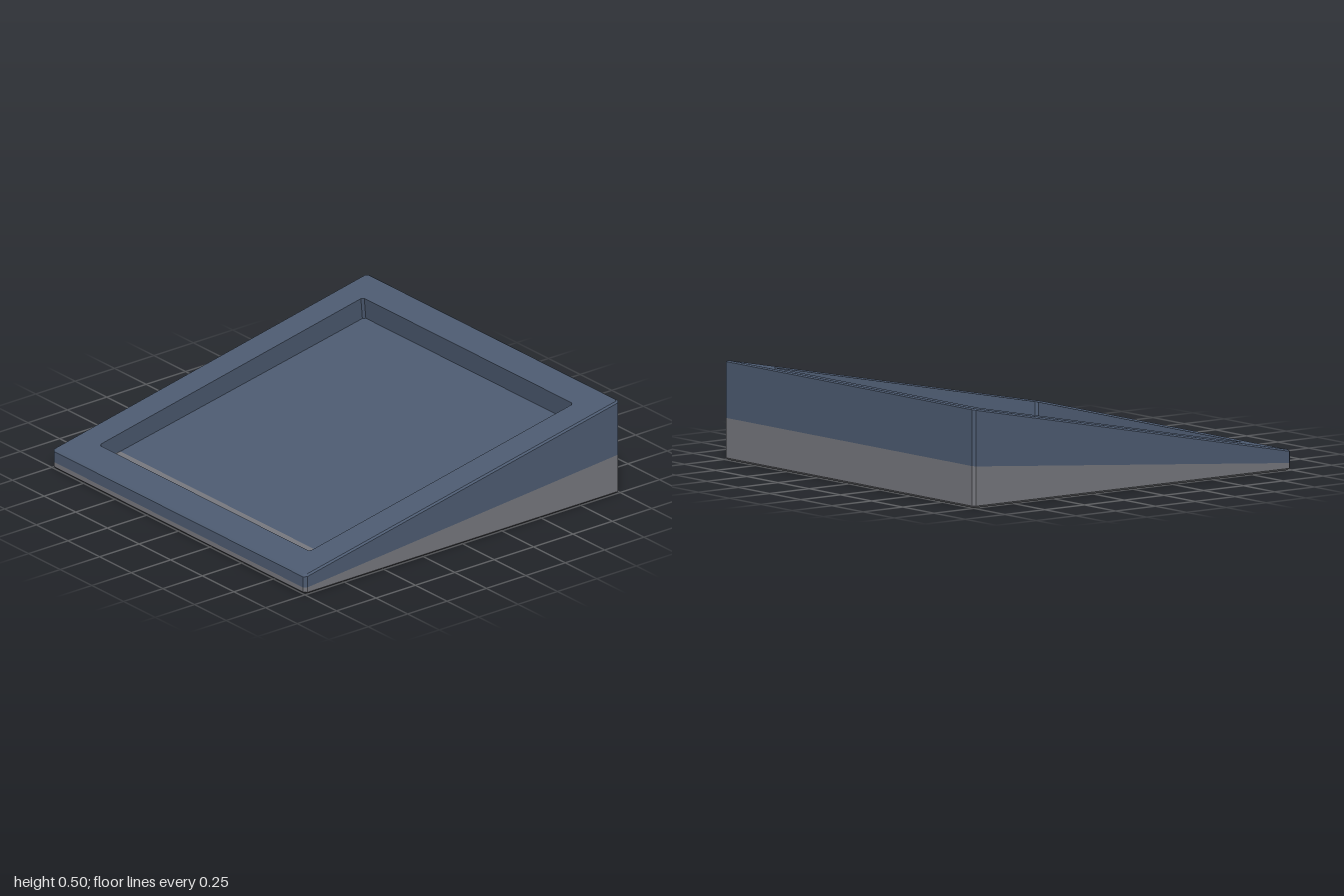
import * as THREE from 'three';

const blue = new THREE.MeshStandardMaterial({ color: 0x4c5a70 });
blue.name = 'slate blue';
const grey = new THREE.MeshStandardMaterial({ color: 0x74757b });
grey.name = 'base grey';

const SPLIT_Z = 0.69; // where the tray floor changes colour
const slope = (z) => 0.3 - 0.2 * z; // sloping top plane
const band = (z) => 0.1225 - 0.0875 * z; // colour boundary on the sides
const tray = (z) => 0.186 - 0.191 * z; // tray floor plane

// Rectangle with cut corners, counter-clockwise from above, lifted to height(z)
function ring(x0, x1, z0, z1, c, height) {
  return [
    [x1, z1 - c], [x1, SPLIT_Z], [x1, z0 + c], [x1 - c, z0], [x0 + c, z0],
    [x0, z0 + c], [x0, SPLIT_Z], [x0, z1 - c], [x0 + c, z1], [x1 - c, z1],
  ].map(([x, z]) => new THREE.Vector3(x, height(z), z));
}

function meshFrom(name, points, material) {
  const geometry = new THREE.BufferGeometry().setFromPoints(points);
  geometry.computeVertexNormals();
  const mesh = new THREE.Mesh(geometry, material);
  mesh.name = name;
  return mesh;
}

// Faceted skin through successive rings
function loft(name, rings, material) {
  const points = [];
  for (let r = 0; r < rings.length - 1; r++) {
    const a = rings[r], b = rings[r + 1];
    a.forEach((p, i) => {
      const j = (i + 1) % a.length;
      points.push(p, a[j], b[j], p, b[j], b[i]);
    });
  }
  return meshFrom(name, points, material);
}

// Flat convex face
function face(name, outline, material) {
  const points = [];
  for (let i = 1; i < outline.length - 1; i++) points.push(outline[0], outline[i], outline[i + 1]);
  return meshFrom(name, points, material);
}

export function createModel() {
  const group = new THREE.Group();
  group.name = 'slopedTray';

  // Outer wedge with small bevels
  const bottom = ring(-0.99, 0.99, -0.99, 0.99, 0.012, () => 0);
  const foot = ring(-1, 1, -1, 1, 0.015, () => 0.01);
  const middle = ring(-1, 1, -1, 1, 0.015, band);
  const shoulder = ring(-1, 1, -1, 1, 0.015, (z) => slope(z) - 0.008);
  const brim = ring(-0.99, 0.99, -0.99, 0.99, 0.012, slope);

  // Recess, leaning a little to the back and to one side
  const opening = ring(-0.832, 0.832, -0.838, 0.835, 0.012, slope);
  const floor = ring(-0.845, 0.812, -0.858, 0.818, 0.012, tray);
  const wallSplit = floor.map((p, i) => {
    const t = p.z > SPLIT_Z ? (band(p.z) - p.y) / (opening[i].y - p.y) : 0;
    return p.clone().lerp(opening[i], t);
  });

  group.add(
    face('underside', [...bottom].reverse(), grey),
    loft('lowerSides', [bottom, foot, middle], grey),
    loft('upperSidesAndRim', [middle, shoulder, brim, opening], blue),
    loft('recessWalls', [opening, wallSplit], blue),
    loft('recessLowerFrontWall', [wallSplit, floor], grey),
    face('recessFloor', floor.slice(1, 7), blue),
    face('recessFloorFront', [...floor.slice(6), floor[0], floor[1]], grey),
  );
  return group;
}
